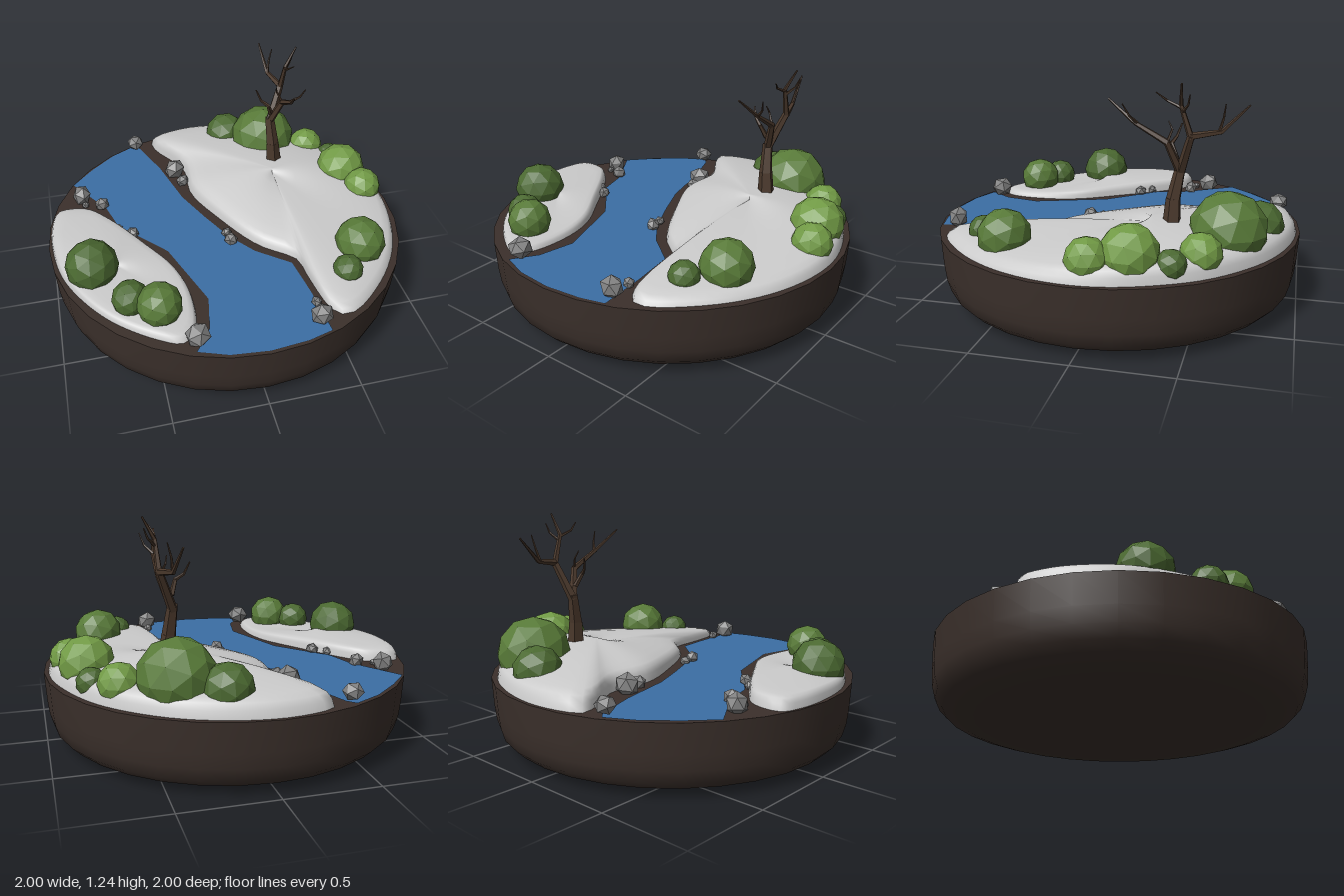
import * as THREE from 'three';

const SOIL = 0x3b302b, WATER = 0x3b6ea5, LAND = 0xcccccc, BARK = 0x4a382b, STONE = 0x808080;
const DARK = 0x4b6931, MID = 0x587a38, LIGHT = 0x719a45;
const TOP = 0.385; // soil level

const mat = (color, opts = {}) => new THREE.MeshStandardMaterial({ color, ...opts });

function add(parent, name, geometry, material) {
  const mesh = new THREE.Mesh(geometry, material);
  mesh.name = name;
  parent.add(mesh);
  return mesh;
}

// Closed smooth outline in x, z
function smoothLoop(points, n) {
  const curve = new THREE.CatmullRomCurve3(points.map(([x, z]) => new THREE.Vector3(x, 0, z)), true, 'centripetal');
  return curve.getSpacedPoints(n).slice(0, n);
}

// Land mound: the outline shrinks ring by ring towards its peak
function moundGeometry(outline, [px, pz], edgeHeight, dome) {
  const n = 72, loop = smoothLoop(outline, n), pos = [], index = [];
  const rings = [[1, 0], [0.985, 0.55], [0.955, 0.88], [0.9, 1], [0.78, 1], [0.6, 1], [0.4, 1], [0.2, 1], [0, 1]];
  rings.forEach(([t, rise], k) => loop.forEach((p, i) => {
    const x = px + (p.x - px) * t, z = pz + (p.z - pz) * t;
    pos.push(x, TOP - 0.003 + edgeHeight(p.z) * rise + dome * (1 - t * t), z);
    if (k === 0) return;
    const a = (k - 1) * n + i, b = (k - 1) * n + (i + 1) % n;
    index.push(a, b, a + n, b, b + n, a + n);
  }));
  const g = new THREE.BufferGeometry();
  g.setAttribute('position', new THREE.Float32BufferAttribute(pos, 3));
  g.setIndex(index);
  g.computeVertexNormals();
  return g;
}

// Tapered limb running through a list of points
function addLimb(parent, name, points, r0, r1, material) {
  const limb = new THREE.Group();
  limb.name = name;
  const pts = points.map(p => new THREE.Vector3(...p)), last = pts.length - 1;
  for (let i = 0; i < last; i++) {
    const dir = pts[i + 1].clone().sub(pts[i]), len = dir.length();
    const ra = r0 + (r1 - r0) * i / last, rb = r0 + (r1 - r0) * (i + 1) / last;
    const seg = add(limb, name + 'Segment', new THREE.CylinderGeometry(rb, ra, len + ra * 0.3, 5), material);
    seg.position.copy(pts[i]).add(pts[i + 1]).multiplyScalar(0.5);
    seg.quaternion.setFromUnitVectors(new THREE.Vector3(0, 1, 0), dir.normalize());
  }
  parent.add(limb);
}

export function createModel() {
  const model = new THREE.Group();
  model.name = 'islandDiorama';

  // Round soil base with a soft lower edge
  const profile = [[0, 0], [0.5, 0.002], [0.74, 0.01], [0.85, 0.022], [0.92, 0.045], [0.96, 0.085], [0.98, 0.15], [0.99, 0.23], [1, TOP]];
  add(model, 'soilBase', new THREE.LatheGeometry(profile.map(p => new THREE.Vector2(...p)), 32), mat(SOIL));
  const soilTop = add(model, 'soilTop', new THREE.CircleGeometry(1, 32), mat(SOIL));
  soilTop.rotation.x = -Math.PI / 2;
  soilTop.position.y = TOP;

  // River from bank to bank, closed by the rim at both ends
  const river = [
    [-0.82, -0.56], [-0.65, -0.29], [-0.6, -0.11], [-0.36, 0.17], [-0.22, 0.58], [-0.26, 0.78], [-0.35, 0.91],
    [-0.2, 0.965], [0, 0.985], [0.2, 0.965], [0.33, 0.93],
    [0.31, 0.65], [0.28, 0.42], [0.11, 0.28], [0, 0.13], [-0.1, -0.08], [-0.19, -0.29], [-0.27, -0.61], [-0.36, -0.86],
    [-0.4, -0.9], [-0.55, -0.82], [-0.7, -0.69],
  ];
  const riverShape = new THREE.Shape(river.map(([x, z]) => new THREE.Vector2(x, -z)));
  add(model, 'river', new THREE.ShapeGeometry(riverShape).rotateX(-Math.PI / 2).translate(0, TOP + 0.005, 0), mat(WATER));

  // Banks of land on both sides of the river
  const leftOutline = [
    [-0.28, -0.91], [-0.26, -0.82], [-0.13, -0.58], [-0.13, -0.32], [-0.02, -0.05], [0.14, 0.23], [0.32, 0.4],
    [0.33, 0.51], [0.39, 0.82], [0.47, 0.84], [0.7, 0.66], [0.87, 0.42], [0.96, 0.15], [0.97, -0.1],
    [0.9, -0.35], [0.76, -0.6], [0.5, -0.83], [0.25, -0.94], [0, -0.98], [-0.2, -0.95],
  ];
  const rightOutline = [
    [-0.93, -0.28], [-0.97, -0.18], [-0.98, 0], [-0.93, 0.28], [-0.74, 0.6], [-0.5, 0.8], [-0.4, 0.84],
    [-0.33, 0.78], [-0.3, 0.56], [-0.34, 0.35], [-0.48, 0.11], [-0.66, -0.16], [-0.77, -0.27],
  ];
  const landMat = mat(LAND);
  add(model, 'leftLand', moundGeometry(leftOutline, [0.36, -0.25],
    z => 0.04 + 0.035 * THREE.MathUtils.smoothstep(-z, -0.6, 0.4), 0.085), landMat);
  add(model, 'rightLand', moundGeometry(rightOutline, [-0.66, 0.26],
    z => 0.035 + 0.03 * THREE.MathUtils.smoothstep(-z, -0.7, 0.1), 0.015), landMat);

  // Bushes: x, y, z, radius, colour
  const bushes = [
    [0.2, 0.48, -0.79, 0.13, DARK], [0.41, 0.51, -0.65, 0.2, MID], [0.67, 0.47, -0.55, 0.107, LIGHT],
    [0.79, 0.45, -0.43, 0.077, DARK], [0.79, 0.49, -0.235, 0.147, LIGHT], [0.86, 0.47, -0.05, 0.11, LIGHT],
    [0.66, 0.48, 0.43, 0.138, MID], [0.53, 0.45, 0.595, 0.082, DARK], [-0.78, 0.475, 0.28, 0.142, DARK],
    [-0.615, 0.46, 0.55, 0.097, DARK], [-0.48, 0.475, 0.64, 0.117, MID],
  ];
  bushes.forEach(([x, y, z, r, color], i) => {
    const bush = add(model, 'bush', new THREE.IcosahedronGeometry(r, 1), mat(color, { flatShading: true }));
    bush.position.set(x, y, z);
    bush.rotation.y = i * 0.7;
  });

  // Rocks along the banks: x, y, z, radius
  const rocks = [
    [-0.39, 0.44, -0.87, 0.053], [-0.19, 0.425, -0.54, 0.065], [-0.16, 0.41, -0.43, 0.04], [-0.78, 0.42, -0.41, 0.06],
    [-0.67, 0.41, -0.31, 0.042], [-0.765, 0.4, -0.335, 0.022], [-0.6, 0.4, -0.07, 0.03], [-0.53, 0.405, -0.01, 0.037],
    [-0.01, 0.4, 0.1, 0.03], [0, 0.405, 0.17, 0.042], [-0.33, 0.435, 0.845, 0.065], [0.3, 0.43, 0.85, 0.06],
    [0.31, 0.405, 0.74, 0.03],
  ];
  const stoneMat = mat(STONE, { flatShading: true });
  rocks.forEach(([x, y, z, r], i) => {
    const rock = add(model, 'rock', new THREE.IcosahedronGeometry(r, 0), stoneMat);
    rock.position.set(x, y, z);
    rock.rotation.set(i * 1.3, i * 2.1, i * 0.6);
    rock.scale.set(1, 0.9, 1.05);
  });

  // Bare tree
  const tree = new THREE.Group();
  tree.name = 'bareTree';
  model.add(tree);
  const bark = mat(BARK, { flatShading: true });
  const limbs = [
    ['trunk', 0.05, 0.028, [[0.4, 0.5, -0.365], [0.39, 0.64, -0.37], [0.375, 0.8, -0.4]]],
    ['frontBranch', 0.024, 0.005, [[0.375, 0.78, -0.4], [0.43, 0.94, -0.34], [0.43, 1.03, -0.18], [0.4, 1.14, -0.04]]],
    ['backBranch', 0.027, 0.005, [[0.375, 0.78, -0.4], [0.45, 0.98, -0.46], [0.41, 1.0, -0.6], [0.39, 1.13, -0.73]]],
    ['topBranch', 0.018, 0.005, [[0.45, 0.97, -0.46], [0.46, 1.13, -0.41], [0.52, 1.24, -0.42]]],
    ['twig', 0.015, 0.004, [[0.375, 0.85, -0.38], [0.35, 0.92, -0.35], [0.31, 0.95, -0.37], [0.285, 1.01, -0.39]]],
    ['twig', 0.008, 0.003, [[0.43, 0.94, -0.34], [0.4, 1.0, -0.36], [0.39, 1.04, -0.34]]],
    ['twig', 0.009, 0.003, [[0.43, 1.03, -0.19], [0.47, 1.07, -0.16], [0.49, 1.13, -0.13]]],
    ['twig', 0.009, 0.003, [[0.41, 1.0, -0.59], [0.42, 1.07, -0.61], [0.44, 1.14, -0.62]]],
    ['twig', 0.009, 0.003, [[0.46, 1.12, -0.41], [0.45, 1.15, -0.34], [0.47, 1.19, -0.29]]],
    ['twig', 0.009, 0.003, [[0.46, 1.1, -0.42], [0.5, 1.14, -0.45], [0.52, 1.19, -0.46]]],
  ];
  limbs.forEach(([name, r0, r1, points]) => addLimb(tree, name, points, r0, r1, bark));

  return model;
}
